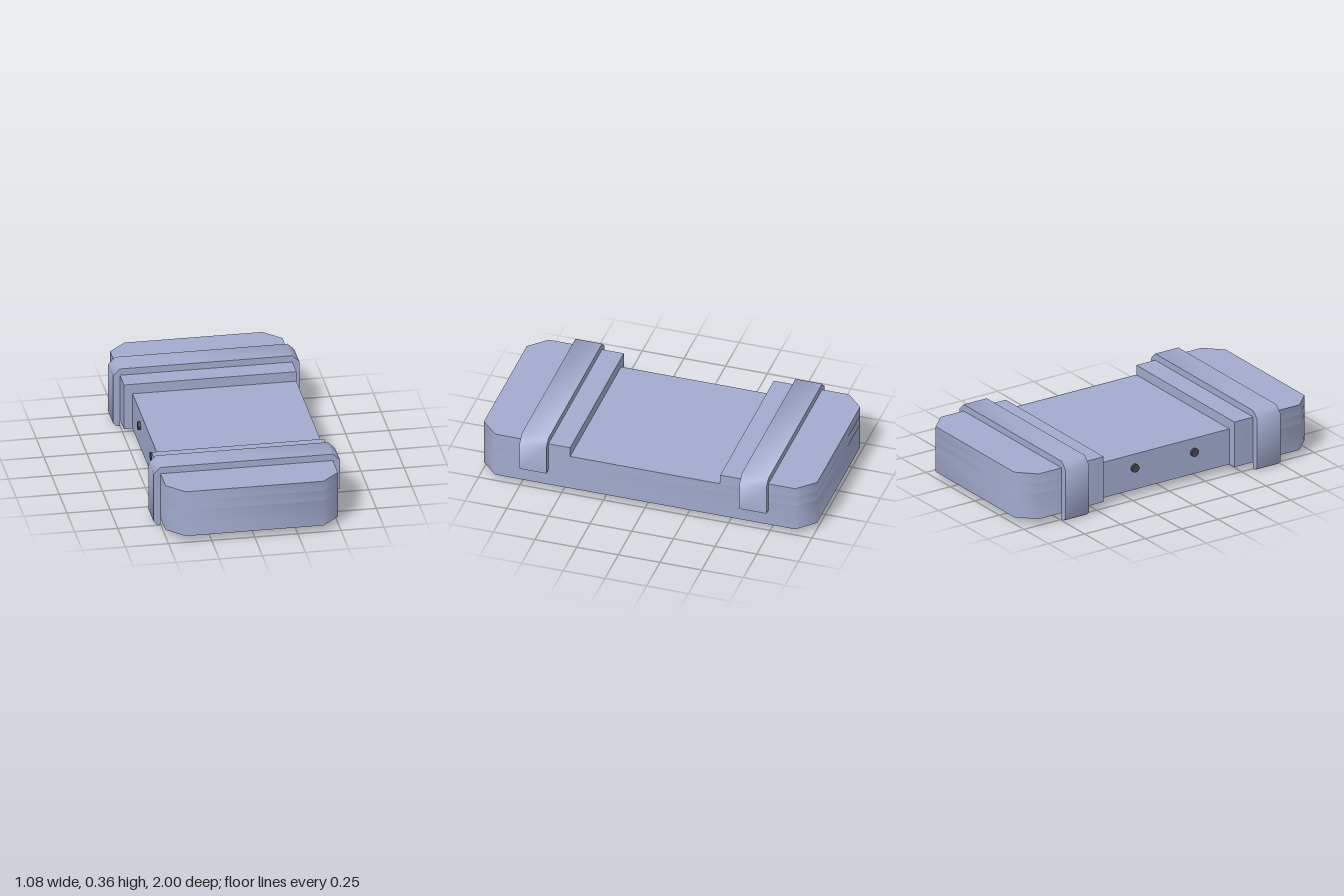
import * as THREE from 'three';
import { toCreasedNormals } from 'three/addons/utils/BufferGeometryUtils.js';

const shell = new THREE.MeshStandardMaterial({ color: 0xa3abce });
shell.name = 'shellBlue';
const dark = new THREE.MeshStandardMaterial({ color: 0x47474c });
dark.name = 'darkLining';

const shapeOf = (pts) => new THREE.Shape(pts.map(([x, y]) => new THREE.Vector2(x, y)));

// Plan outline (x, z): chamfered corners, with a shallow recess on the -x side
function outline(x, z, chamfer, recessX, recessZ) {
  const a = x - chamfer, b = z - chamfer;
  return [
    [a, z], [x, b], [x, -b], [a, -z], [-a, -z], [-x, -b],
    [-x, -recessZ], [-recessX, -recessZ], [-recessX, recessZ], [-x, recessZ],
    [-x, b], [-a, z],
  ];
}

// Extrude a plan shape upwards from y0 to y1; bevels shade smoothly, square edges stay sharp
function slab(name, pts, y0, y1, material, holePts) {
  // rotating by -90 degrees sends shape y to -z, so z is negated here
  const flip = (list) => list.map(([x, z]) => [x, -z]);
  const shape = shapeOf(flip(pts));
  if (holePts) shape.holes.push(shapeOf(flip(holePts)));
  const geo = new THREE.ExtrudeGeometry(shape, { depth: y1 - y0, bevelEnabled: false });
  geo.rotateX(-Math.PI / 2);
  geo.translate(0, y0, 0);
  const mesh = new THREE.Mesh(toCreasedNormals(geo, 0.9), material);
  mesh.name = name;
  return mesh;
}

export function createModel() {
  const model = new THREE.Group();
  model.name = 'cover';

  const outer = outline(0.5, 1, 0.1, 0.45, 0.45);
  const inner = outline(0.42, 0.92, 0.07, 0.36, 0.51);
  const core = outline(0.36, 0.84, 0.02, 0.3, 0.57);

  // Hollow cover: side walls and roof
  model.add(slab('sideWalls', outer, 0.04, 0.2, shell, inner));
  model.add(slab('roof', outer, 0.2, 0.26, shell));

  // Dark lining inside the open underside
  model.add(slab('liningFrame', inner, 0.07, 0.19, dark, core));
  model.add(slab('liningCeiling', inner, 0.19, 0.2, dark));

  // Strap section (x, y): long hooked leg on -x, short leg on +x
  const strapShape = shapeOf([
    [-0.5, 0], [-0.5, 0.32], [0.5, 0.32], [0.5, 0.14], [0.54, 0.14], [0.54, 0.32],
    [0.5, 0.36], [-0.5, 0.36], [-0.54, 0.32], [-0.54, 0.02], [-0.52, 0],
  ]);
  const strapGeo = new THREE.ExtrudeGeometry(strapShape, { depth: 0.16, bevelEnabled: false });
  strapGeo.translate(0, 0, -0.08);
  const strapCreased = toCreasedNormals(strapGeo, 0.9);

  const pinGeo = new THREE.CylinderGeometry(0.025, 0.025, 0.045, 20);
  pinGeo.rotateZ(Math.PI / 2);

  for (const s of [1, -1]) {
    const side = s > 0 ? 'front' : 'back';

    // Raised end block
    const end = [[0.5, 0.45], [0.5, 0.9], [0.4, 1], [-0.4, 1], [-0.5, 0.9], [-0.5, 0.45]]
      .map(([x, z]) => [x, z * s]);
    model.add(slab(side + 'EndBlock', end, 0.26, 0.32, shell));

    // Strap over the end block
    const strap = new THREE.Mesh(strapCreased, shell);
    strap.name = side + 'Strap';
    strap.position.z = 0.66 * s;
    model.add(strap);

    // Small round pin in the recessed side
    const pin = new THREE.Mesh(pinGeo, dark);
    pin.name = side + 'Pin';
    pin.position.set(-0.4425, 0.175, 0.205 * s);
    model.add(pin);
  }

  return model;
}
